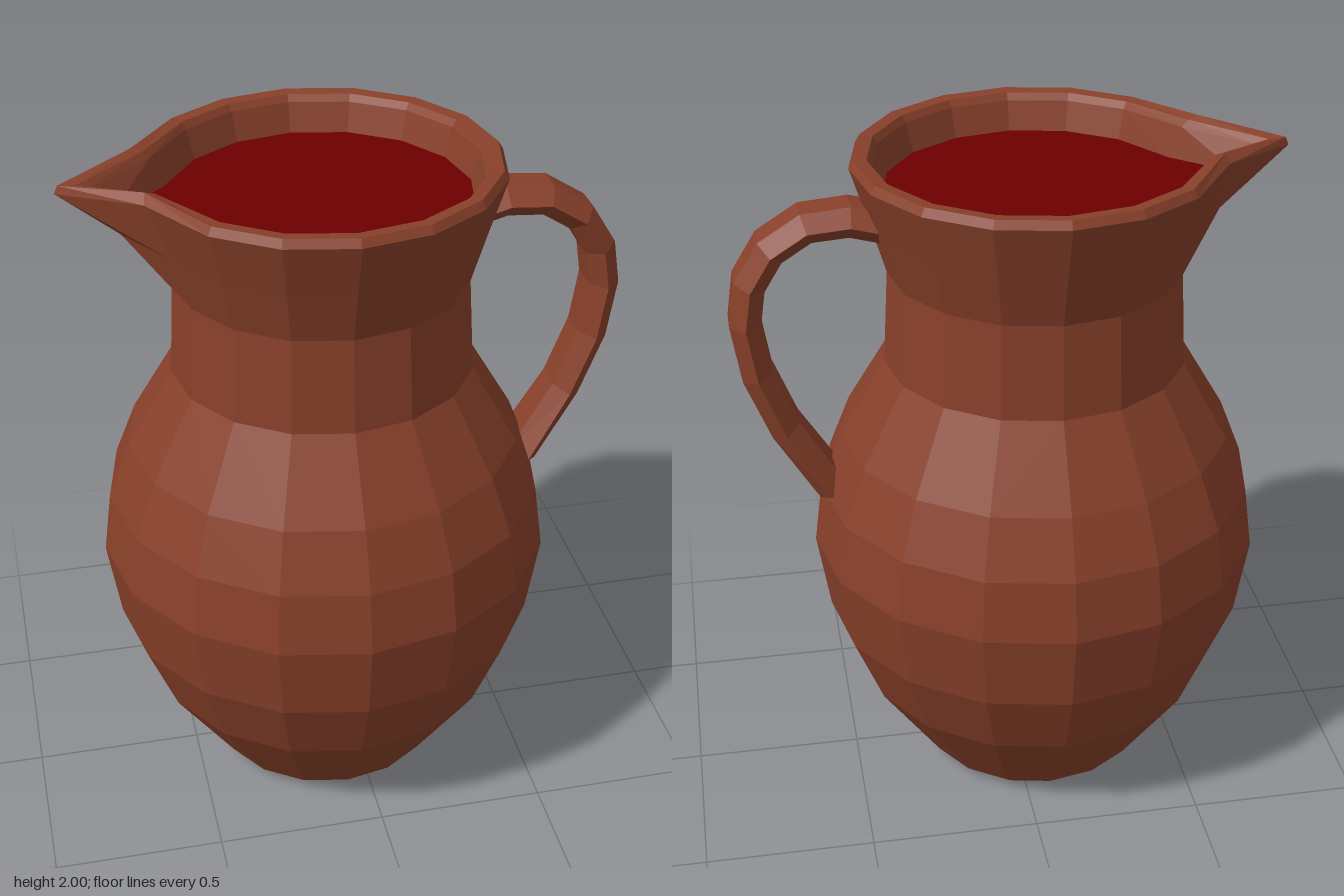
import * as THREE from 'three';

const SIDES = 16;
const CENTRE_X = -0.075;
const SPOUT = SIDES / 2; // index of the corner pulled out into the spout

// Joins rings of points into a faceted surface, with diagonals mirrored across z = 0
function loft(rings) {
  const pos = [];
  const n = rings[0].length;
  const tri = (a, b, c) => {
    const area = b.clone().sub(a).cross(c.clone().sub(a)).length();
    if (area > 1e-7) for (const p of [a, b, c]) pos.push(p.x, p.y, p.z);
  };
  for (let i = 0; i < rings.length - 1; i++) {
    for (let j = 0; j < n; j++) {
      const k = (j + 1) % n;
      const a = rings[i][j], b = rings[i + 1][j], c = rings[i + 1][k], d = rings[i][k];
      if (j < n / 2) { tri(a, b, c); tri(a, c, d); }
      else { tri(a, b, d); tri(b, c, d); }
    }
  }
  const geo = new THREE.BufferGeometry();
  geo.setAttribute('position', new THREE.Float32BufferAttribute(pos, 3));
  geo.computeVertexNormals();
  return geo;
}

// Round ring; tip = [x, y] and cheek = [x, y, z] reshape it into the spout
function ring(r, y, tip, cheek) {
  const pts = [];
  for (let j = 0; j < SIDES; j++) {
    const a = (j / SIDES) * Math.PI * 2;
    pts.push(new THREE.Vector3(CENTRE_X + r * Math.cos(a), y, r * Math.sin(a)));
  }
  if (tip) pts[SPOUT].set(tip[0], tip[1], 0);
  if (cheek) {
    pts[SPOUT - 1].set(cheek[0], cheek[1], cheek[2]);
    pts[SPOUT + 1].set(cheek[0], cheek[1], -cheek[2]);
  }
  return pts;
}

export function createModel() {
  const clay = new THREE.MeshStandardMaterial({ color: 0x88402a, flatShading: true });
  clay.name = 'clay';
  const wine = new THREE.MeshStandardMaterial({ color: 0x6d0000, flatShading: true });
  wine.name = 'wine';

  const group = new THREE.Group();
  group.name = 'jug';
  const add = (name, geo, mat) => {
    const mesh = new THREE.Mesh(geo, mat);
    mesh.name = name;
    group.add(mesh);
  };

  // Belly and neck, from the closed foot upward
  const profile = [
    [0, 0], [0.31, 0], [0.35, 0.035], [0.54, 0.32], [0.63, 0.545], [0.667, 0.785],
    [0.642, 0.97], [0.575, 1.14], [0.44, 1.37], [0.424, 1.65],
  ];
  const neckTop = ring(0.424, 1.65);
  add('body', loft(profile.map(([r, y]) => ring(r, y))), clay);

  // Flared mouth with the spout, turning over the rim to the inner wall
  const innerEdge = ring(0.43, 1.88, [-0.65, 1.88], [-0.49, 1.88, 0.14]);
  add('mouthAndSpout', loft([
    neckTop,
    ring(0.471, 1.81, [-0.63, 1.815], [-0.515, 1.81, 0.175]),
    ring(0.519, 1.965, [-0.8, 1.952], [-0.58, 1.975, 0.172]),
    ring(0.505, 1.988, [-0.79, 1.975], [-0.575, 2.0, 0.145]),
    ring(0.468, 1.985, [-0.74, 1.972], [-0.545, 1.99, 0.138]),
    ring(0.455, 1.965, [-0.715, 1.955], [-0.525, 1.97, 0.138]),
    innerEdge,
  ]), clay);

  // Liquid surface
  add('liquid', loft([innerEdge, ring(0, 1.88)]), wine);

  // Handle: a flattened six-sided section carried along a bent path
  const path = [
    [0.33, 1.795], [0.45, 1.825], [0.572, 1.815], [0.675, 1.75], [0.737, 1.65],
    [0.755, 1.535], [0.73, 1.37], [0.66, 1.19], [0.535, 0.985],
  ].map(([x, y]) => new THREE.Vector3(x, y, 0));
  const section = [[1, -0.045], [0, -0.09], [-1, -0.045], [-1, 0.045], [0, 0.09], [1, 0.045]];
  const last = path.length - 1;
  const handleRings = path.map((p, i) => {
    const t = path[Math.min(i + 1, last)].clone().sub(path[Math.max(i - 1, 0)]).normalize();
    const out = new THREE.Vector3(-t.y, t.x, 0); // points away from the grip opening
    const wide = i === last ? 1.2 : i === 0 ? 1.1 : 1;
    return section.map(([o, z]) => p.clone().addScaledVector(out, o * 0.045)
      .add(new THREE.Vector3(0, 0, z * wide)));
  });
  const cap = (p) => section.map(() => p.clone());
  add('handle', loft([cap(path[0]), ...handleRings, cap(path[last])]), clay);

  return group;
}
